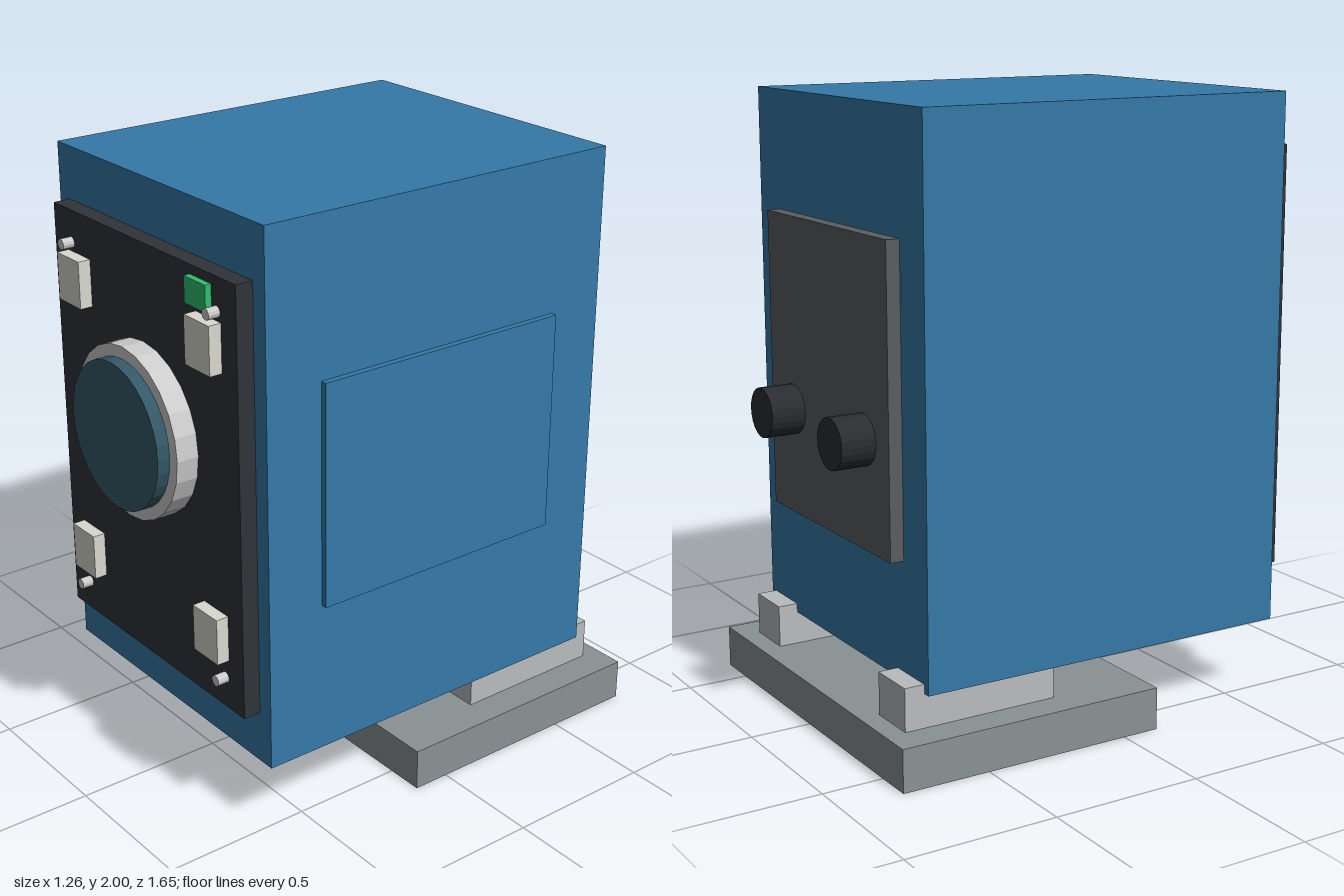
import * as THREE from 'three';

const mat = (color) => new THREE.MeshStandardMaterial({ color, flatShading: true });

export function createModel() {
  const model = new THREE.Group();
  const blue = mat(0x3579a8), black = mat(0x303338), ringGrey = mat(0xbfc1c2),
    glass = mat(0x345868), cream = mat(0xd9d9cf), green = mat(0x2fbf71),
    baseGrey = mat(0x8a9294), footGrey = mat(0xb9bcbd), backGrey = mat(0x5a5d60),
    knobBlack = mat(0x2a2c30);

  const add = (name, geometry, material, x, y, z) => {
    const mesh = new THREE.Mesh(geometry, material);
    mesh.name = name;
    mesh.position.set(x, y, z);
    model.add(mesh);
  };
  // Box given by its extents on each axis
  const box = (name, material, [x0, x1], [y0, y1], [z0, z1]) =>
    add(name, new THREE.BoxGeometry(x1 - x0, y1 - y0, z1 - z0), material,
      (x0 + x1) / 2, (y0 + y1) / 2, (z0 + z1) / 2);
  // Cylinder lying along z
  const disc = (name, material, r, x, y, [z0, z1], sides) =>
    add(name, new THREE.CylinderGeometry(r, r, z1 - z0, sides).rotateX(Math.PI / 2),
      material, x, y, (z0 + z1) / 2);

  // Housing and side access panel
  box('housing', blue, [-0.547, 0.547], [0.25, 2], [-0.663, 0.65]);
  box('sidePanel', blue, [0.54, 0.568], [0.757, 1.493], [-0.463, 0.453]);

  // Front plate with lens and indicator
  box('frontPlate', black, [-0.49, 0.49], [0.423, 1.826], [0.645, 0.708]);
  disc('lensRing', ringGrey, 0.28, 0, 1.23, [0.7, 0.783], 24);
  disc('lensGlass', glass, 0.24, 0, 1.23, [0.7, 0.825], 32);
  box('indicator', green, [0.263, 0.37], [1.713, 1.796], [0.7, 0.729]);

  // Corner pads and screws on the front plate, feet and rear knobs
  for (const s of [-1, 1]) {
    for (const [padY, screwY] of [[1.614, 1.72], [0.67, 0.527]]) {
      box('cornerPad', cream, [s * 0.351 - 0.063, s * 0.351 + 0.063],
        [padY - 0.077, padY + 0.077], [0.7, 0.75]);
      disc('screw', ringGrey, 0.018, s * 0.394, screwY, [0.7, 0.747], 12);
    }
    box('foot', footGrey, [s * 0.438 - 0.083, s * 0.438 + 0.083], [0.14, 0.28], [-0.73, -0.2]);
    disc('knob', knobBlack, 0.082, s * 0.241, 0.985, [-0.823, -0.7], 24);
  }

  // Rear plate and base
  box('rearPlate', backGrey, [-0.403, 0.403], [0.635, 1.613], [-0.708, -0.655]);
  box('base', baseGrey, [-0.628, 0.628], [0, 0.14], [-0.797, 0.125]);

  return model;
}
